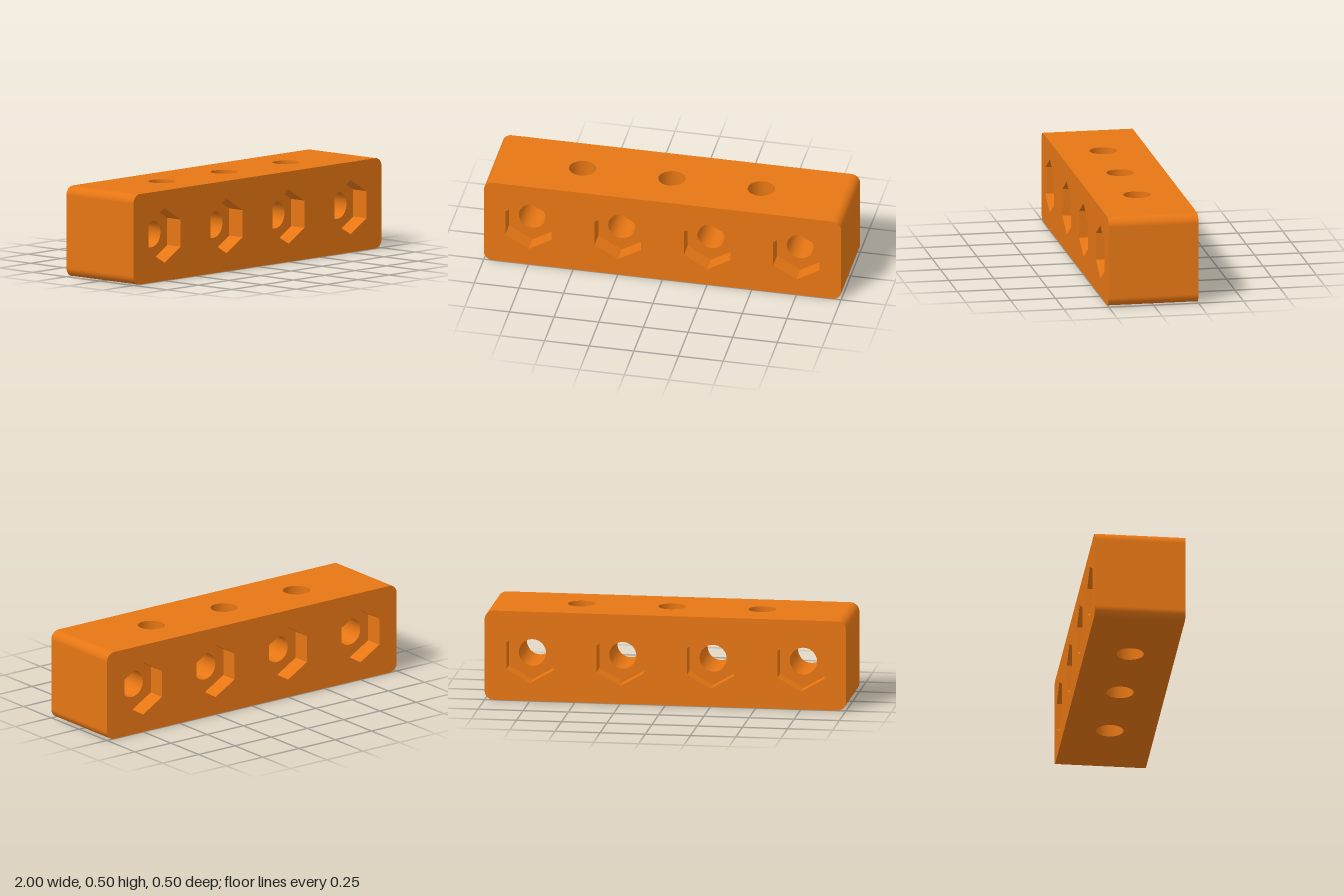
import * as THREE from 'three';
import { mergeGeometries } from 'three/addons/utils/BufferGeometryUtils.js';

const L = 2, S = 0.5;           // block length, and its height and depth
const EDGE = 0.05;              // radius of the long rounded edges
const BORE = 0.075;             // bolt hole radius
const HEX = 0.15, POCKET = 0.1; // nut pocket corner radius and depth
const SEG = 32;
const CROSS_X = [-0.75, -0.25, 0.25, 0.75]; // holes front to back
const VERT_X = [-0.5, 0, 0.5];              // holes top to bottom

const circle = (x) => new THREE.Path().absarc(x, 0, BORE, 0, Math.PI * 2, true);

const hexPoints = (x) => Array.from({ length: 6 }, (_, i) => {
  const a = Math.PI / 2 + i * Math.PI / 3;
  return new THREE.Vector2(x + HEX * Math.cos(a), HEX * Math.sin(a));
});

function roundedRect(w, h, r) {
  const s = new THREE.Shape(), x = w / 2 - r, y = h / 2 - r;
  s.absarc(x, y, r, 0, Math.PI / 2);
  s.absarc(-x, y, r, Math.PI / 2, Math.PI);
  s.absarc(-x, -y, r, Math.PI, Math.PI * 1.5);
  s.absarc(x, -y, r, Math.PI * 1.5, Math.PI * 2);
  s.closePath();
  return s;
}

function rect(w, h) {
  const x = w / 2, y = h / 2;
  return new THREE.Shape([[-x, -y], [x, -y], [x, y], [-x, y]].map(p => new THREE.Vector2(...p)));
}

const flat = (shape) => new THREE.ShapeGeometry(shape, SEG / 2);

// Open tube along y that is seen from the inside
function innerTube(radius, length, sides) {
  let g = new THREE.CylinderGeometry(radius, radius, length, sides, 1, true);
  const idx = g.index.array;
  for (let i = 0; i < idx.length; i += 3) [idx[i], idx[i + 1]] = [idx[i + 1], idx[i]];
  if (sides === 6) g = g.toNonIndexed();
  g.computeVertexNormals();
  if (sides !== 6) { // exact radial normals, no seam
    const p = g.attributes.position, n = g.attributes.normal;
    for (let i = 0; i < p.count; i++) n.setXYZ(i, -p.getX(i) / radius, 0, -p.getZ(i) / radius);
  }
  return g;
}

export function createModel() {
  const group = new THREE.Group();
  const material = new THREE.MeshStandardMaterial({ color: 0xe67614 });
  const body = new THREE.Group();
  body.name = 'blockBody';
  body.position.y = S / 2;
  group.add(body);
  const add = (name, geometry) => {
    const mesh = new THREE.Mesh(geometry, material);
    mesh.name = name;
    body.add(mesh);
  };

  // Front and back faces with hexagonal openings
  const face = roundedRect(L, S, EDGE);
  CROSS_X.forEach(x => face.holes.push(new THREE.Path(hexPoints(x))));
  add('frontFace', flat(face).translate(0, 0, S / 2));
  add('backFace', flat(face).translate(0, 0, S / 2).rotateY(Math.PI));

  // Top and bottom faces with round openings
  const plate = rect(L - 2 * EDGE, S);
  VERT_X.forEach(x => plate.holes.push(circle(x)));
  add('topFace', flat(plate).translate(0, 0, S / 2).rotateX(-Math.PI / 2));
  add('bottomFace', flat(plate).translate(0, 0, S / 2).rotateX(Math.PI / 2));

  // End faces
  const end = () => new THREE.PlaneGeometry(S, S - 2 * EDGE).translate(0, 0, L / 2);
  add('leftEnd', end().rotateY(Math.PI / 2));
  add('rightEnd', end().rotateY(-Math.PI / 2));

  // Four rounded edges running front to back
  const edges = [[1, -1], [1, 1], [-1, 1], [-1, -1]].map(([sx, sy], i) =>
    new THREE.CylinderGeometry(EDGE, EDGE, S, SEG, 1, true, 0, Math.PI / 2)
      .rotateX(Math.PI / 2)
      .rotateZ(i * Math.PI / 2)
      .translate(sx * (L / 2 - EDGE), sy * (S / 2 - EDGE), 0));
  add('roundedEdges', mergeGeometries(edges));

  // Vertical bolt holes
  VERT_X.forEach(x => add('verticalHole', innerTube(BORE, S, SEG).translate(x, 0, 0)));

  // Cross holes with a nut pocket at each end
  const floor = new THREE.Shape(hexPoints(0));
  floor.holes.push(circle(0));
  CROSS_X.forEach(x => {
    add('crossHole', innerTube(BORE, S - 2 * POCKET, SEG).rotateX(Math.PI / 2).translate(x, 0, 0));
    for (const turn of [0, Math.PI]) {
      add('nutPocketWall', innerTube(HEX, POCKET, 6).rotateX(Math.PI / 2)
        .translate(0, 0, S / 2 - POCKET / 2).rotateY(turn).translate(x, 0, 0));
      add('nutPocketFloor', flat(floor).translate(0, 0, S / 2 - POCKET)
        .rotateY(turn).translate(x, 0, 0));
    }
  });

  return group;
}
